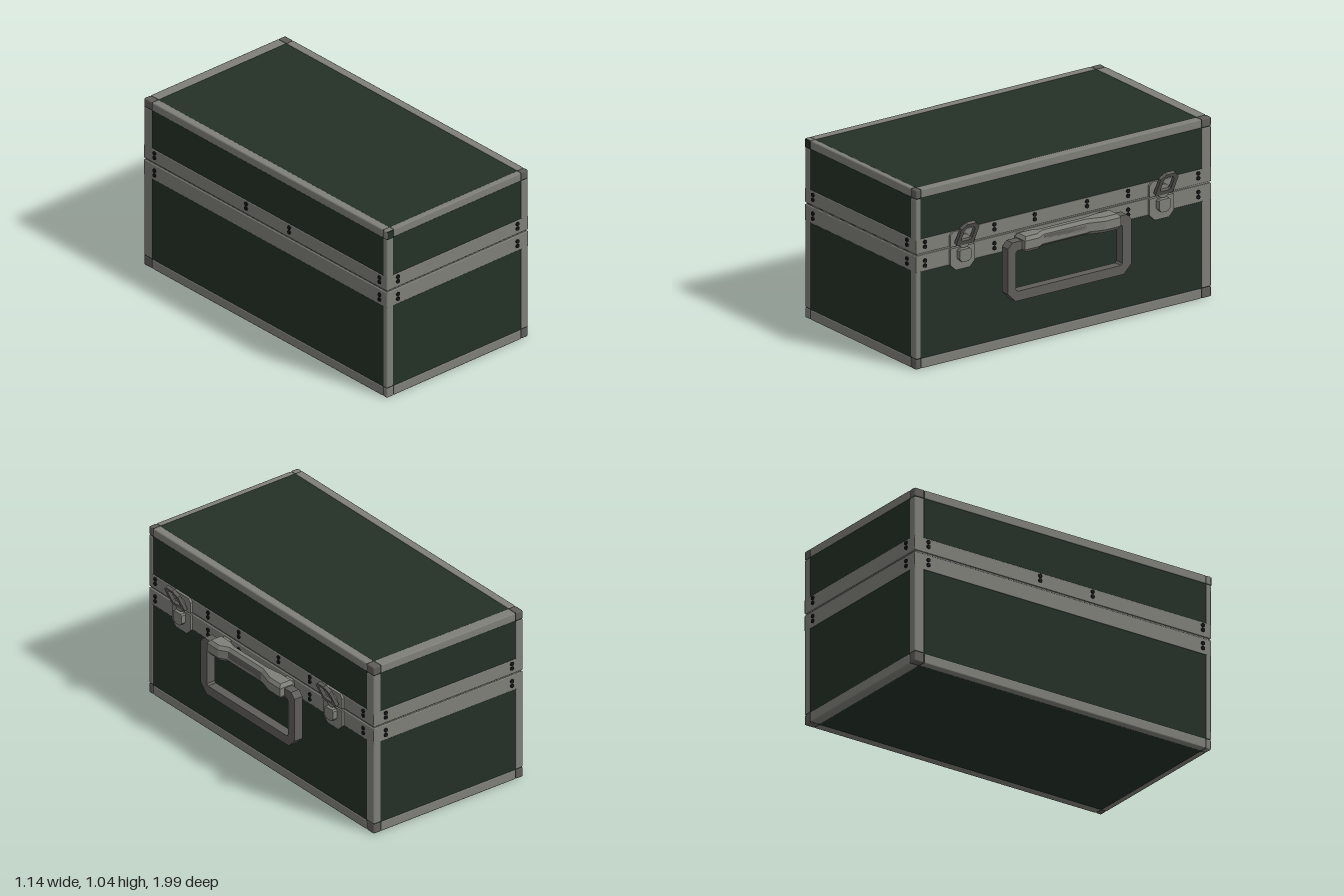
import * as THREE from 'three';
import { RoundedBoxGeometry } from 'three/addons/geometries/RoundedBoxGeometry.js';

const material = (name, color) => Object.assign(new THREE.MeshStandardMaterial({ color }), { name });

export function createModel() {
  const green = material('dark green panel', 0x243026);
  const metal = material('grey metal', 0x7f7f79);
  const steel = material('dark steel', 0x5e5d59);
  const black = material('black rivet', 0x151917);

  const model = new THREE.Group();
  model.name = 'storageCase';

  const add = (parent, name, geometry, mat, x = 0, y = 0, z = 0) => {
    const mesh = new THREE.Mesh(geometry, mat);
    mesh.name = name;
    mesh.position.set(x, y, z);
    parent.add(mesh);
    return mesh;
  };
  // Box given by its limits; a radius softens the edges
  const box = (parent, name, mat, [x0, x1], [y0, y1], [z0, z1], radius = 0) => {
    const size = [x1 - x0, y1 - y0, z1 - z0];
    const geometry = radius ? new RoundedBoxGeometry(...size, 1, radius) : new THREE.BoxGeometry(...size);
    return add(parent, name, geometry, mat, (x0 + x1) / 2, (y0 + y1) / 2, (z0 + z1) / 2);
  };
  const path = (Type, points) => new Type(points.map(([a, b]) => new THREE.Vector2(a, b)));
  // Rectangle with its corners cut off: c0 at the bottom, c1 at the top
  const cutRect = (a0, a1, b0, b1, c0, c1) => [
    [a0 + c0, b0], [a1 - c0, b0], [a1, b0 + c0], [a1, b1 - c1],
    [a1 - c1, b1], [a0 + c1, b1], [a0, b1 - c1], [a0, b0 + c0]];
  // Outline in the side plane (first coordinate is -z), extruded towards +x
  const sidePlate = (outline, depth, hole) => {
    const shape = path(THREE.Shape, outline);
    if (hole) shape.holes.push(path(THREE.Path, hole));
    return new THREE.ExtrudeGeometry(shape, { depth, bevelEnabled: false }).rotateY(Math.PI / 2);
  };

  // Limits of the case and inner limits of its trim
  const X = [-0.565, 0.463], Z = [-0.99, 0.988], H = 1.037;
  const xi = [-0.515, 0.412], zi = [-0.925, 0.953], yi = [0.06, 0.985];
  const xs = [[X[0], xi[0]], [xi[1], X[1]]];
  const zs = [[Z[0], zi[0]], [zi[1], Z[1]]];
  const inset = 0.004;
  const inner = ([a, b]) => [a + inset, b - inset];

  // Body and lid: panel core, closing band and metal edging
  const half = (name, y, band, edge, upright) => {
    const group = new THREE.Group();
    group.name = name;
    model.add(group);
    box(group, 'panels', green, inner(X), y, inner(Z));
    box(group, 'closingBand', metal, X, band, Z, 0.005);
    for (const x of xs) {
      box(group, 'sideEdge', metal, x, edge, zi, 0.008);
      for (const z of zs) {
        box(group, 'uprightEdge', metal, x, upright, z, 0.008);
        const frontLeftLow = x === xs[0] && z === zs[1];
        box(group, 'cornerCap', frontLeftLow ? metal : steel, x, edge, z, 0.008);
      }
    }
    for (const z of zs) box(group, 'endEdge', metal, xi, edge, z, 0.008);
    return group;
  };
  half('body', [inset, 0.65], [0.56, 0.656], [0, yi[0]], [yi[0], 0.65]);
  const lid = half('lid', [0.67, H - inset], [0.665, 0.75], [yi[1], H], [0.67, yi[1]]);
  box(lid, 'cornerPatch', green, inner(xs[0]), [yi[1], H - 0.004], [Z[1] - 0.004, Z[1] + 0.002]);
  box(model, 'lidSeam', metal, [X[0] + 0.008, X[1] - 0.008], [0.64, 0.68], [Z[0] + 0.008, Z[1] - 0.008]);

  // Rivets around the bands
  const rivets = new THREE.Group();
  rivets.name = 'rivets';
  model.add(rivets);
  const onEnds = new THREE.CylinderGeometry(0.012, 0.012, 0.014, 8).rotateX(Math.PI / 2);
  const onSides = new THREE.CylinderGeometry(0.012, 0.012, 0.014, 8).rotateZ(Math.PI / 2);
  for (const y of [0.593, 0.622, 0.702, 0.73]) {
    for (const x of [-0.487, 0.382]) {
      for (const z of Z) add(rivets, 'rivet', onEnds, black, x, y, z);
    }
    for (const z of [-0.9, 0.93]) {
      for (const x of X) add(rivets, 'rivet', onSides, black, x, y, z);
    }
    for (const z of [-0.43, 0.465]) add(rivets, 'rivet', onSides, black, X[1], y, z);
    for (const z of [-0.155, 0.195]) {
      add(rivets, 'rivet', onSides, black, X[1], y, z);
      if (y > 0.66) add(rivets, 'rivet', onSides, black, X[0], y, z);
    }
  }

  // Two latches: plates, catch, lever tab and raised wire loop
  for (const z of [0.685, -0.648]) {
    const latch = new THREE.Group();
    latch.name = 'latch';
    latch.position.set(X[1], 0, z);
    model.add(latch);
    add(latch, 'lowerPlate', sidePlate(cutRect(-0.082, 0.082, 0.527, 0.656, 0.035, 0.005), 0.014), metal);
    add(latch, 'upperPlate', sidePlate(cutRect(-0.082, 0.082, 0.665, 0.752, 0.005, 0.02), 0.014), metal);
    add(latch, 'leverTab', sidePlate(cutRect(-0.038, 0.038, 0.575, 0.648, 0.018, 0.008), 0.042), metal);
    const knob = new THREE.CylinderGeometry(0.04, 0.04, 0.03, 12).rotateZ(Math.PI / 2);
    add(latch, 'catch', knob, metal, 0.015, 0.692, 0);
    const loop = add(latch, 'loop', sidePlate(
      cutRect(-0.06, 0.06, 0, 0.155, 0.01, 0.032), 0.02,
      cutRect(-0.036, 0.036, 0.03, 0.132, 0.008, 0.02)), steel, 0.014, 0.68, 0);
    loop.rotation.z = -0.45;
  }

  // Carrying handle: chamfered ring hanging from a waisted grip
  const handle = new THREE.Group();
  handle.name = 'handle';
  model.add(handle);
  add(handle, 'ring', sidePlate(
    cutRect(-0.43, 0.395, 0.29, 0.632, 0.05, 0.03), 0.055,
    cutRect(-0.376, 0.336, 0.345, 0.58, 0.01, 0.01)), steel, 0.488);
  const outline = [
    [0.472, -0.305], [0.573, -0.305], [0.573, -0.2], [0.543, -0.1], [0.543, 0.19], [0.573, 0.24],
    [0.573, 0.337], [0.472, 0.337], [0.472, 0.24], [0.487, 0.19], [0.487, -0.1], [0.472, -0.2]];
  const grip = new THREE.ExtrudeGeometry(path(THREE.Shape, outline), {
    depth: 0.05, bevelThickness: 0.02, bevelSize: 0.015, bevelOffset: -0.015, bevelSegments: 1,
  }).rotateX(Math.PI / 2);
  add(handle, 'grip', grip, metal, 0, 0.637, 0);
  for (const z of [0.29, -0.26]) {
    box(handle, 'mount', metal, [X[1], 0.5], [0.585, 0.648], [z - 0.03, z + 0.03]);
  }
  return model;
}
